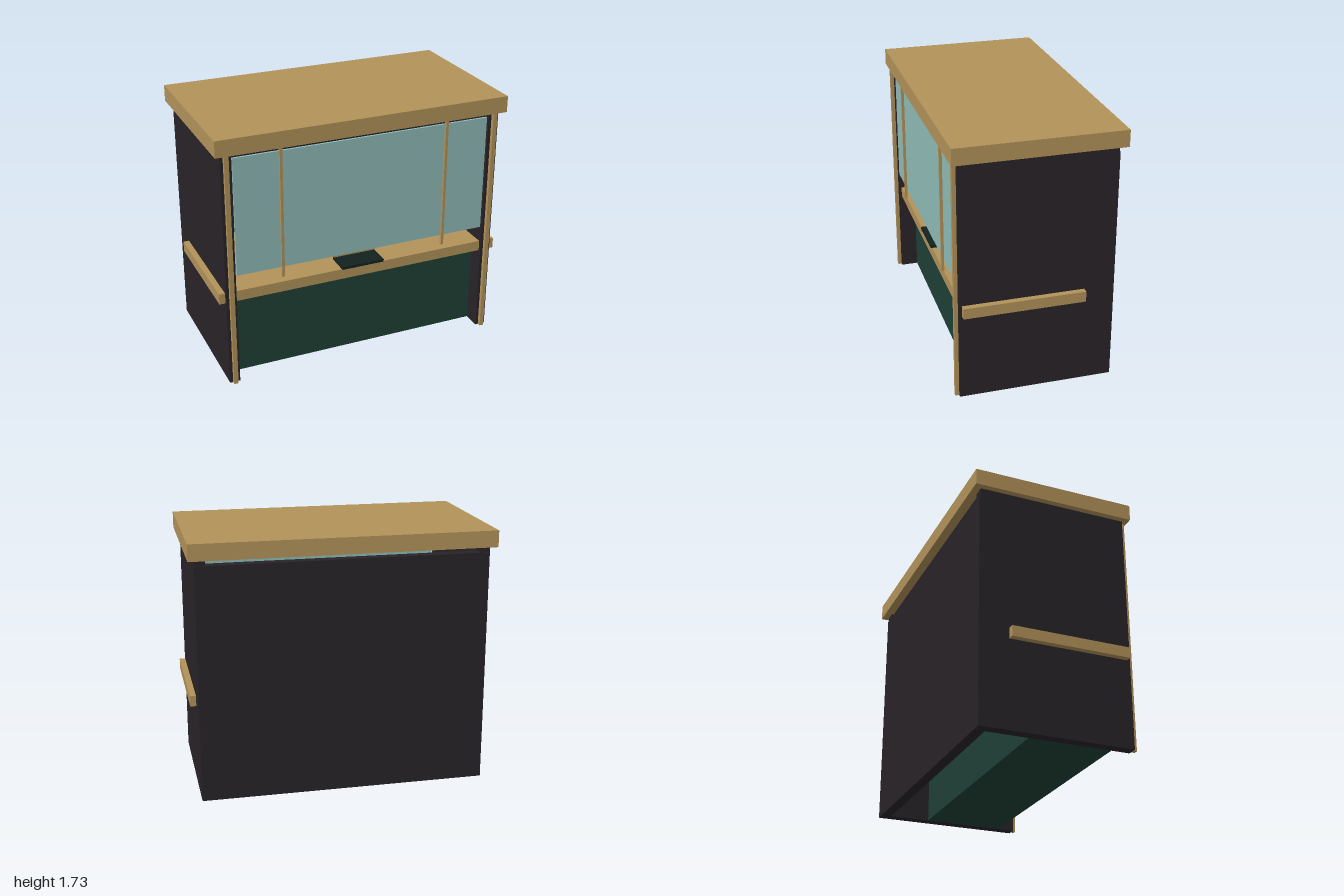
import * as THREE from 'three';

const mat = (color) => new THREE.MeshStandardMaterial({ color });

export function createModel() {
  const group = new THREE.Group();
  const wood = mat(0xb3935a), dark = mat(0x282328), green = mat(0x1f4037), black = mat(0x13221f);
  const glass = mat(0x8fbcb8), cream = mat(0xd8c8a0), maroon = mat(0x7a2e3e), mint = mat(0x8fd6bd);

  const add = (name, geometry, material, x, y, z) => {
    const mesh = new THREE.Mesh(geometry, material);
    mesh.name = name;
    mesh.position.set(x, y, z);
    group.add(mesh);
    return mesh;
  };
  // Box given by its extents on each axis
  const box = (name, material, [x0, x1], [y0, y1], [z0, z1]) =>
    add(name, new THREE.BoxGeometry(x1 - x0, y1 - y0, z1 - z0), material,
      (x0 + x1) / 2, (y0 + y1) / 2, (z0 + z1) / 2);

  // Shell: roof, back and cabinet
  box('roof', wood, [-1, 1], [1.62, 1.73], [-0.55, 0.55]);
  box('backWall', dark, [-0.958, 0.958], [0, 1.58], [-0.51, -0.44]);
  box('cabinet', green, [-0.89, 0.89], [0.003, 0.6], [-0.16, 0.39]);

  // Counter runs through both side walls
  box('counter', wood, [-1, 1], [0.593, 0.665], [-0.31, 0.49]);

  // Mirrored side walls, front trims and window rods
  for (const [side, s] of [['left', 1], ['right', -1]]) {
    const span = (a, b) => (s > 0 ? [a, b] : [-b, -a]);
    box(side + 'Wall', dark, span(0.89, 0.96), [0, 1.62], [-0.503, 0.51]);
    box(side + 'Trim', wood, span(0.91, 0.94), [0, 1.62], [0.51, 0.535]);
    box(side + 'WindowRod', wood, span(0.565, 0.583), [0.72, 1.61], [0.508, 0.526]);
  }
  box('window', glass, [-0.88, 0.88], [0.783, 1.585], [0.49, 0.505]);

  // Row of cups in alternating colours
  const cup = new THREE.CylinderGeometry(0.05, 0.05, 0.083, 24);
  for (let i = 0; i < 6; i++) {
    add('cup' + (i + 1), cup, i % 2 ? maroon : cream, -0.638 + i * 0.098, 0.706, 0);
  }

  // Serving tray with a wooden bar at its back edge
  box('tray', black, [-0.15, 0.15], [0.665, 0.683], [0.335, 0.5]);
  box('trayBar', wood, [-0.15, 0.15], [0.687, 0.703], [0.335, 0.355]);

  // Till with its screen
  box('till', black, [0.36, 0.59], [0.665, 0.86], [-0.06, 0.06]);
  box('tillScreen', mint, [0.38, 0.57], [0.72, 0.84], [0.06, 0.07]);

  return group;
}
